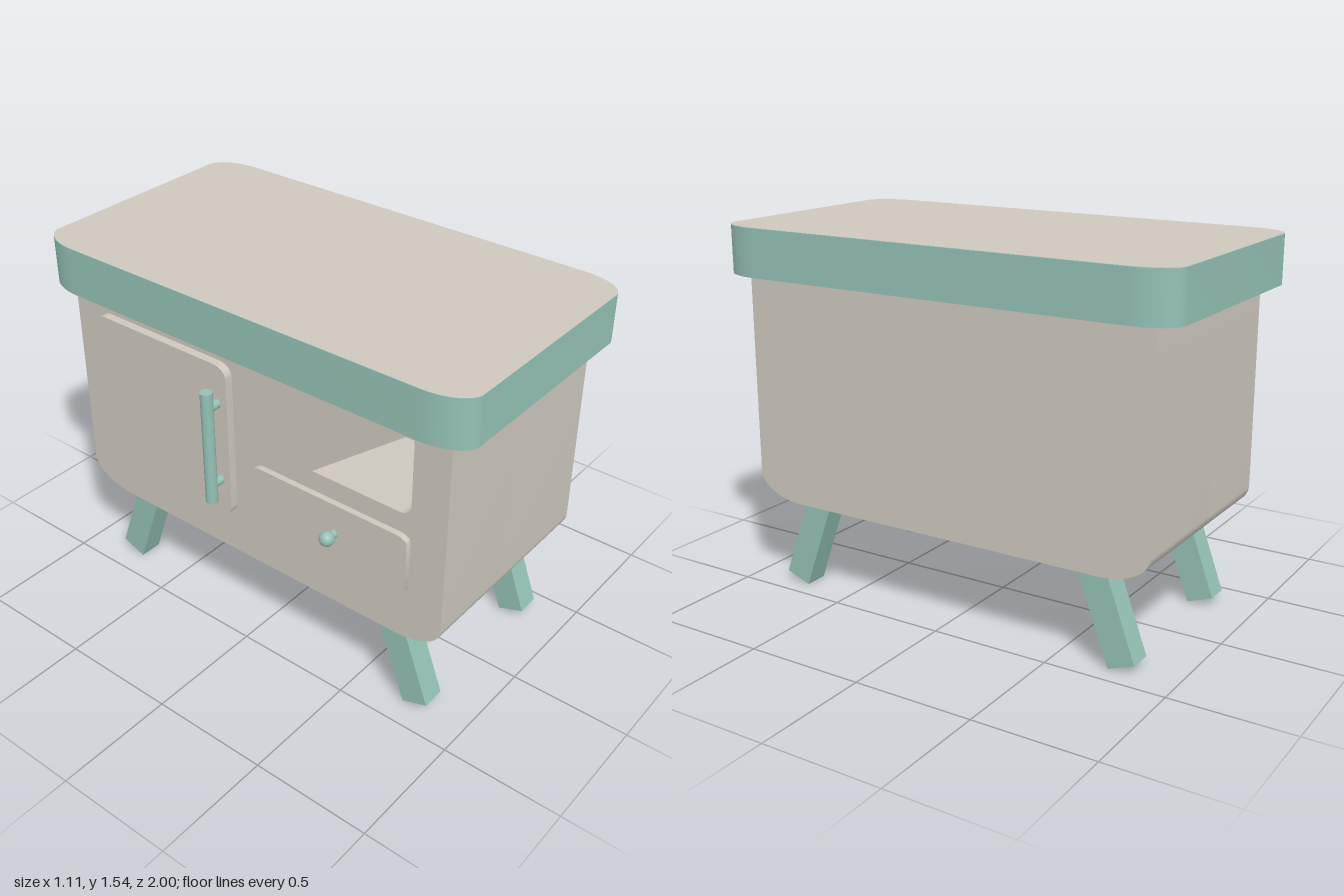
import * as THREE from 'three';
import { toCreasedNormals } from 'three/addons/utils/BufferGeometryUtils.js';

// Rectangle with elliptical corners; the top pair can stay square
function roundedShape(u0, u1, v0, v1, ru, rv, squareTop = false) {
  const s = new THREE.Shape();
  const h = Math.PI / 2;
  s.moveTo(u0 + ru, v0);
  s.lineTo(u1 - ru, v0);
  s.absellipse(u1 - ru, v0 + rv, ru, rv, -h, 0, false);
  if (squareTop) {
    s.lineTo(u1, v1);
    s.lineTo(u0, v1);
  } else {
    s.lineTo(u1, v1 - rv);
    s.absellipse(u1 - ru, v1 - rv, ru, rv, 0, h, false);
    s.lineTo(u0 + ru, v1);
    s.absellipse(u0 + ru, v1 - rv, ru, rv, h, 2 * h, false);
  }
  s.lineTo(u0, v0 + rv);
  s.absellipse(u0 + ru, v0 + rv, ru, rv, 2 * h, 3 * h, false);
  return s;
}

function extrude(shape, depth) {
  return new THREE.ExtrudeGeometry(shape, { depth, bevelEnabled: false, curveSegments: 12 });
}

// Extrude a (z, y) outline along x, from x0 (low) to x1 (high)
function slab(shape, x0, x1) {
  const g = extrude(shape, x1 - x0);
  g.rotateY(-Math.PI / 2).translate(x1, 0, 0);
  return toCreasedNormals(g, 0.5);
}

export function createModel() {
  const model = new THREE.Group();
  const cream = new THREE.MeshStandardMaterial({ color: 0xcdc7bd });
  cream.name = 'warm cream';
  const green = new THREE.MeshStandardMaterial({ color: 0x94c1b4 });
  green.name = 'sage green';

  const add = (name, geometry, material, parent = model) => {
    const mesh = new THREE.Mesh(geometry, material);
    mesh.name = name;
    parent.add(mesh);
    return mesh;
  };

  // Cabinet: rounded bottom ends, with a triangular niche in the -x side
  const bodyOutline = () => roundedShape(-0.91, 0.91, 0.385, 1.34, 0.21, 0.115, true);
  const nicheOutline = bodyOutline();
  const niche = new THREE.Path();
  niche.moveTo(0.31, 0.95);
  niche.lineTo(0.7, 0.95);
  niche.quadraticCurveTo(0.757, 0.95, 0.757, 1.0);
  niche.lineTo(0.757, 1.3);
  niche.closePath();
  nicheOutline.holes.push(niche);
  add('cabinetFront', slab(nicheOutline, -0.44, -0.04), cream);
  add('cabinetBack', slab(bodyOutline(), -0.04, 0.47), cream);

  // Lid with a cream top surface
  const lidShape = roundedShape(-0.52, 0.55, -1, 1, 0.1, 0.18);
  const lid = extrude(lidShape, 0.198);
  lid.rotateX(-Math.PI / 2).translate(0, 1.34, 0);
  add('lid', toCreasedNormals(lid, 0.5), green);
  const top = new THREE.ShapeGeometry(lidShape, 12);
  top.rotateX(-Math.PI / 2).translate(0, 1.54, 0);
  add('lidTop', top, cream);

  // Door and drawer fronts
  add('door', slab(roundedShape(-0.775, -0.075, 0.573, 1.258, 0.06, 0.05), -0.475, -0.44), cream);
  add('drawer', slab(roundedShape(0.03, 0.76, 0.605, 0.866, 0.05, 0.025), -0.465, -0.44), cream);

  // Door handle: upright bar on two standoffs
  const handle = new THREE.Group();
  handle.name = 'doorHandle';
  model.add(handle);
  add('handleBar', new THREE.CylinderGeometry(0.025, 0.025, 0.5, 24), green, handle)
    .position.set(-0.53, 0.915, -0.125);
  for (const y of [0.74, 1.09]) {
    const post = add('handlePost', new THREE.CylinderGeometry(0.019, 0.019, 0.06, 20), green, handle);
    post.rotation.z = Math.PI / 2;
    post.position.set(-0.495, y, -0.125);
  }

  // Drawer knob
  const knob = new THREE.Group();
  knob.name = 'drawerKnob';
  model.add(knob);
  add('knobBall', new THREE.SphereGeometry(0.03, 24, 16), green, knob)
    .position.set(-0.507, 0.735, 0.433);
  const stem = add('knobStem', new THREE.CylinderGeometry(0.018, 0.018, 0.05, 20), green, knob);
  stem.rotation.z = Math.PI / 2;
  stem.position.set(-0.48, 0.735, 0.433);

  // Splayed legs
  const tilt = 0.349;
  const length = 0.44;
  for (const x of [-0.34, 0.368]) {
    for (const side of [-1, 1]) {
      const leg = add('leg', new THREE.BoxGeometry(0.1, length, 0.117), green);
      leg.rotation.x = -side * tilt;
      leg.position.set(
        x,
        0.02 + (length / 2) * Math.cos(tilt),
        side * (0.78 - (length / 2) * Math.sin(tilt))
      );
    }
  }

  return model;
}
